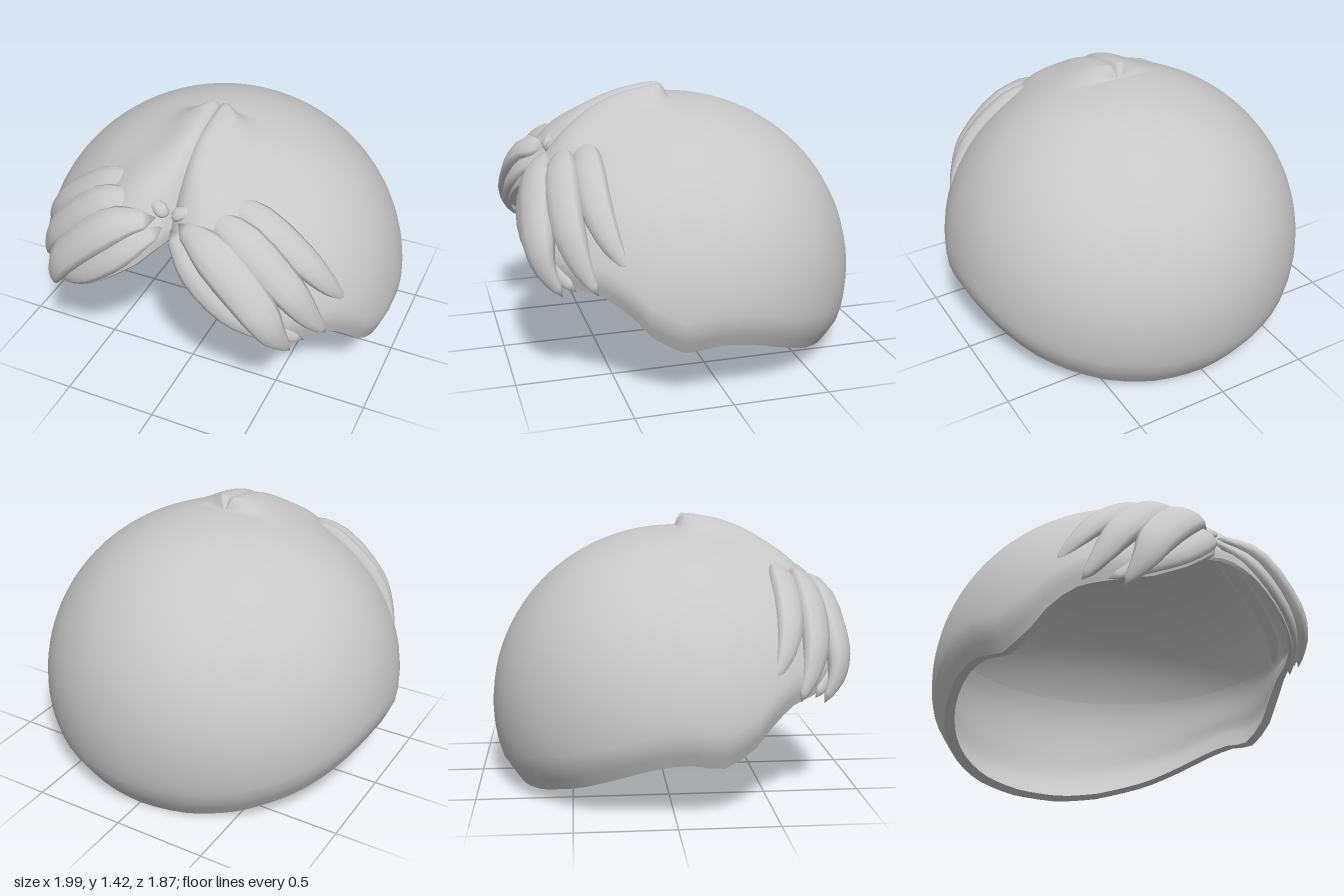
import * as THREE from 'three';
import { mergeVertices } from 'three/addons/utils/BufferGeometryUtils.js';

const CENTER = new THREE.Vector3(0, 0.4, 0.07);
const { smoothstep, clamp, lerp } = THREE.MathUtils;
const SEGMENTS = 80;
const ROWS = 36;
const LINING_TOP = 0.69;

// Hairline: azimuth in degrees from the front, height of the edge
const HAIRLINE = [
  [0, 1.03], [8, 0.89], [20, 0.74], [25, 0.68], [35, 0.6], [46, 0.57], [56, 0.55], [64, 0.48], [72, 0.34],
  [81, 0.27], [90, 0.3], [98, 0.29], [106, 0.25], [125, 0.135], [145, 0.05], [160, 0.012], [180, 0],
];

function hairlineY(angle) {
  const d = Math.abs(angle) * 180 / Math.PI;
  for (let i = 1; i < HAIRLINE.length; i++) {
    const [d0, y0] = HAIRLINE[i - 1], [d1, y1] = HAIRLINE[i];
    if (d <= d1) return y0 + (y1 - y0) * (d - d0) / (d1 - d0);
  }
  return 0;
}

const polarAngle = (y) => Math.acos((y - 0.4) / 0.96);

// The edge is thin at the forehead and thicker around the sides and back
const edgeScale = (angle) => lerp(0.98, 0.945, smoothstep(Math.abs(angle), 0.6, 1.15));

// Closed rings of points joined into a smooth skin
function skin(rings, flip = false) {
  const n = rings[0].length;
  const index = [];
  for (let i = 0; i < rings.length - 1; i++) {
    for (let j = 0; j < n; j++) {
      const a = i * n + j, b = i * n + (j + 1) % n, c = a + n, d = b + n;
      index.push(...(flip ? [a, b, c, b, d, c] : [a, c, b, b, c, d]));
    }
  }
  const geometry = new THREE.BufferGeometry().setFromPoints(rings.flat());
  geometry.setIndex(index);
  const merged = mergeVertices(geometry, 1e-5);
  merged.computeVertexNormals();
  return merged;
}

// Point on the cap: s runs from the crown (0) to the hairline (1)
function capPoint(angle, s, scale = 1) {
  const phi = polarAngle(hairlineY(angle)) * Math.pow(s, 1.3);
  const p = new THREE.Vector3(Math.sin(phi) * Math.sin(angle), 0.96 * Math.cos(phi), Math.sin(phi) * Math.cos(angle));
  const ax = Math.abs(p.x);
  // Raised fan in front of the crown, swelling again where the fringe locks begin
  const front = smoothstep(Math.cos(angle), 0.05, 0.8) * smoothstep(phi, 0, 0.05);
  const fan = 0.075 * Math.exp(-((ax / 0.17) ** 2)) * (1 - 0.6 * smoothstep(phi, 0.3, 0.9));
  const swell = 0.035 * Math.exp(-(((ax - 0.22) / 0.13) ** 2) - ((p.z - 0.57) / 0.16) ** 2);
  // Parting that deepens toward the forehead
  const part = (0.035 + 0.11 * smoothstep(phi, 0.2, 0.95)) * Math.exp(-ax / (0.012 + 0.085 * phi));
  p.multiplyScalar(1 + front * (fan + swell - part));
  // Edge tucks in
  const tuck = 1 - 0.045 * clamp((s - 0.94) / 0.06, 0, 1);
  p.x *= tuck;
  p.z *= tuck;
  return p.multiplyScalar(scale).add(CENTER);
}

const azimuths = Array.from({ length: SEGMENTS }, (_, j) => {
  const u = 2 * j / SEGMENTS - 1;
  return Math.sign(u) * Math.PI * Math.pow(Math.abs(u), 1.35);
});

const capRing = (s) => azimuths.map((angle) => capPoint(angle, s));
const innerEdge = () => azimuths.map((angle) => capPoint(angle, 1, edgeScale(angle)));

// Lining band that climbs from the hairline and thins out toward its top edge
function liningRing(t) {
  return azimuths.map((angle) => {
    const rim = hairlineY(angle);
    const top = Math.max(LINING_TOP, rim + 0.06);
    const sTop = Math.pow(polarAngle(top) / polarAngle(rim), 1 / 1.3);
    return capPoint(angle, lerp(sTop, 1, t), lerp(0.98, edgeScale(angle), smoothstep(t, 0, 0.6)));
  });
}

const rows = (count, ring) => Array.from({ length: count + 1 }, (_, i) => ring(i / count));

// Tapered lock that follows a path over the cap, deeper on its inner side
function lockGeometry(points, width, depth, inset, side) {
  const path = new THREE.CatmullRomCurve3(points.map(([x, y, z]) => new THREE.Vector3(x * side, y, z)), false, 'centripetal');
  const steps = 14, sides = 10;
  return skin(rows(steps, (t) => {
    const c = path.getPoint(t);
    const tangent = path.getTangent(t);
    const normal = c.clone().sub(CENTER);
    normal.addScaledVector(tangent, -normal.dot(tangent)).normalize();
    const across = tangent.clone().cross(normal);
    const size = t === 0 || t === 1 ? 0 : (0.4 + 0.6 * smoothstep(t, 0, 0.35)) * (1 - 0.9 * Math.pow(t, 2.6));
    return Array.from({ length: sides }, (_, j) => {
      const a = 2 * Math.PI * j / sides;
      const height = Math.sin(a) * (Math.sin(a) > 0 ? depth : inset);
      return c.clone().addScaledVector(across, Math.cos(a) * width * size).addScaledVector(normal, height * size);
    });
  }));
}

const LOCKS = [
  { name: 'FrontLock', width: 0.115, depth: 0.055, inset: 0.09,
    path: [[0.06, 1.09, 0.74], [0.26, 1.04, 0.82], [0.53, 0.8, 0.865], [0.61, 0.66, 0.85], [0.67, 0.52, 0.77]] },
  { name: 'MiddleLock', width: 0.105, depth: 0.05, inset: 0.1,
    path: [[0.14, 1.13, 0.66], [0.36, 1.09, 0.715], [0.63, 0.86, 0.73], [0.73, 0.7, 0.69], [0.8, 0.56, 0.62]] },
  { name: 'SideLock', width: 0.095, depth: 0.05, inset: 0.1,
    path: [[0.2, 1.17, 0.57], [0.39, 1.13, 0.59], [0.65, 0.95, 0.59], [0.77, 0.81, 0.55], [0.85, 0.68, 0.48]] },
  { name: 'HairlineLock', width: 0.1, depth: 0.05, inset: 0.05,
    path: [[0.02, 1.05, 0.75], [0.18, 0.95, 0.84], [0.4, 0.77, 0.87], [0.58, 0.65, 0.81], [0.72, 0.56, 0.71]] },
  // Small curl where the parting meets the forehead
  { name: 'PartingCurl', width: 0.04, depth: 0.025, inset: 0.03,
    path: [[0.01, 1.1, 0.69], [0.04, 1.12, 0.71], [0.08, 1.14, 0.7], [0.13, 1.16, 0.66]] },
];

export function createModel() {
  const group = new THREE.Group();
  group.name = 'hair';
  const hair = new THREE.MeshStandardMaterial({ color: 0xc8c8c8, side: THREE.DoubleSide });
  hair.name = 'hair grey';

  const add = (name, geometry) => {
    const mesh = new THREE.Mesh(geometry, hair);
    mesh.name = name;
    group.add(mesh);
  };

  // Cap: outside, lining band and the edge between them
  add('outerCap', skin(rows(ROWS, capRing)));
  add('innerLining', skin(rows(12, liningRing), true));
  add('capEdge', skin([capRing(1), innerEdge()]));

  // Fringe locks, mirrored
  for (const [prefix, side] of [['left', 1], ['right', -1]]) {
    for (const { name, path, width, depth, inset } of LOCKS) {
      add(prefix + name, lockGeometry(path, width, depth, inset, side));
    }
  }
  return group;
}
